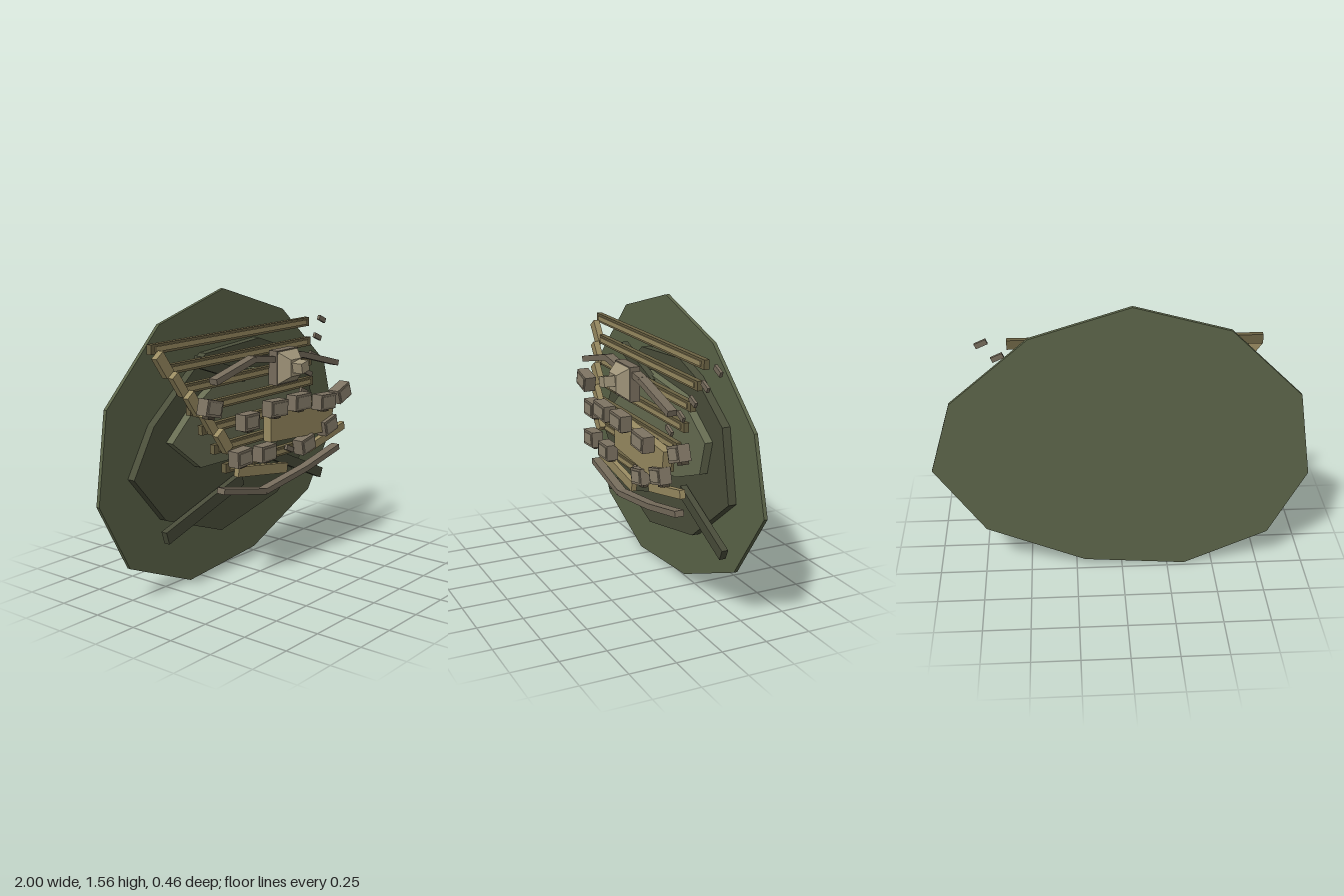
import * as THREE from 'three';

const mat = (color) => new THREE.MeshStandardMaterial({ color, flatShading: true });
const M = {
  ground: mat(0x5c6549), earth: mat(0x4b4f3b), moss: mat(0x676d52), log: mat(0x484b39),
  bench: mat(0x6b6243), plank: mat(0x9a8c62), wall: mat(0x766c5c), stone: mat(0x7d7362),
  face: mat(0x8e8571), dark: mat(0x4a4335), pale: mat(0xa0957a),
};

export function createModel() {
  const root = new THREE.Group();

  function add(name, geometry, material, x = 0, y = 0, z = 0, rot = 0, parent = root) {
    const mesh = new THREE.Mesh(geometry, material);
    mesh.name = name;
    mesh.position.set(x, y, z);
    mesh.rotation.z = rot;
    parent.add(mesh);
    return mesh;
  }
  const box = (name, w, h, d, material, x, y, z, rot, parent) =>
    add(name, new THREE.BoxGeometry(w, h, d), material, x, y, z, rot, parent);

  // Flat irregular polygon slab between two depths
  function slab(name, points, z0, z1, material) {
    const shape = new THREE.Shape(points.map(([x, y]) => new THREE.Vector2(x, y)));
    add(name, new THREE.ExtrudeGeometry(shape, { depth: z1 - z0, bevelEnabled: false }), material, 0, 0, z0);
  }

  // Beam between two points in the facing plane
  function beam(name, [x0, y0], [x1, y1], width, z, depth, material) {
    box(name, Math.hypot(x1 - x0, y1 - y0), width, depth, material,
      (x0 + x1) / 2, (y0 + y1) / 2, z, Math.atan2(y1 - y0, x1 - x0));
  }

  // Layered ground
  slab('groundSlab', [[-0.05, 1.56], [0.47, 1.4], [0.885, 1.045], [1, 0.65], [0.735, 0.27], [0.205, 0.045],
    [-0.345, 0], [-0.8, 0.195], [-1, 0.57], [-0.93, 1.045], [-0.55, 1.42]], -0.23, -0.21, M.ground);
  slab('middleSlab', [[0.2, 1.27], [0.38, 1.21], [0.66, 1.02], [0.74, 0.64], [0.37, 0.345], [-0.135, 0.24],
    [-0.575, 0.405], [-0.8, 0.67], [-0.65, 0.92], [-0.25, 1.24]], -0.21, -0.165, M.earth);
  slab('innerSlab', [[-0.565, 0.82], [-0.36, 1], [-0.12, 1.14], [0.3, 1.1], [0.57, 0.92], [0.52, 0.74],
    [0.25, 0.64], [-0.35, 0.65]], -0.165, -0.12, M.moss);

  // Fallen logs around the hollow
  beam('leftLog', [-0.61, 0.325], [0, 0.51], 0.07, -0.14, 0.036, M.log);
  beam('rightLog', [0.75, 0.385], [0.3, 0.585], 0.06, -0.14, 0.036, M.log);
  beam('upperLeftLog', [-0.38, 1.22], [0, 1.09], 0.06, -0.117, 0.036, M.log);

  // Seven rows of benches stepping down and forward
  const ends = [[-0.725, 0.58], [-0.64, 0.56], [-0.575, 0.54], [-0.53, 0.52],
    [-0.47, 0.49], [-0.405, 0.46], [-0.345, 0.39]];
  ends.forEach(([l, r], i) => {
    const y = 1.325 - 0.109 * i, z = -0.117 + 0.025 * i, x = (l + r) / 2;
    box('bench' + (i + 1), r - l, 0.05, 0.03, M.bench, x, y, z);
    box('benchSeat' + (i + 1), r - l - 0.06, 0.026, 0.01, M.plank, x, y, z + 0.016);
  });

  // Left stair rail, in segments that follow the slope
  for (let i = 0; i < 5; i++) {
    const at = (t) => [-0.705 + 0.375 * t, 1.3 - 0.53 * t];
    beam('leftRail', at(i / 5), at((i + 1) / 5), i % 2 ? 0.05 : 0.06, -0.08 + 0.032 * i, 0.035, M.plank);
  }

  // Right stepping stones
  for (let i = 0; i < 8; i++)
    box('stepStone', 0.065, 0.028, 0.016, M.wall, 0.71 - 0.077 * i, 1.325 - 0.092 * i, -0.107 + 0.025 * i, -0.42);

  // Stage platform and loose planks
  slab('stage', [[-0.035, 0.945], [0.55, 0.9], [0.525, 0.72], [-0.035, 0.76]], 0.05, 0.1, M.plank);
  beam('leftPlank', [-0.28, 0.645], [0.14, 0.58], 0.055, 0.065, 0.03, M.plank);
  beam('rightPlank', [0.34, 0.645], [0.69, 0.72], 0.045, 0.065, 0.03, M.plank);

  // Curved walls made of straight lengths
  function wall(name, points, z, depth) {
    for (let i = 1; i < points.length; i++) beam(name, points[i - 1], points[i], 0.032, z, depth, M.wall);
  }
  wall('upperWall', [[-0.47, 1.15], [-0.16, 1.225], [0.02, 1.2]], 0.075, 0.05);
  wall('upperWall', [[0.16, 1.21], [0.26, 1.195], [0.59, 1.105]], 0.075, 0.05);
  wall('lowerWall', [[-0.395, 0.565], [-0.045, 0.485], [0.33, 0.535], [0.64, 0.6]], 0.055, 0.05);

  // Stepped shrine with a tapered body and a turned block on its front
  const shrine = new THREE.Group();
  shrine.name = 'shrine';
  shrine.position.set(0.095, 1.155, 0);
  root.add(shrine);
  box('shrineBase', 0.185, 0.185, 0.055, M.wall, 0, 0, 0.083, 0, shrine);
  const taper = new THREE.CylinderGeometry(0.045 * Math.SQRT2, 0.088 * Math.SQRT2, 0.06, 4)
    .rotateY(Math.PI / 4).rotateX(Math.PI / 2);
  add('shrineTaper', taper, M.pale, 0, 0, 0.138, 0, shrine);
  box('shrineBlock', 0.065, 0.055, 0.065, M.pale, 0, 0.008, 0.197, 0.2, shrine);

  // Ring of stone seats: x, y, z, turn
  const seats = [[-0.49, 1.02, 0.07, -0.25], [-0.26, 0.92, 0.125, -0.02], [-0.06, 0.96, 0.148, -0.05],
    [0.15, 0.96, 0.148, -0.03], [0.395, 0.92, 0.14, -0.06], [0.655, 0.92, 0.07, 0.35],
    [-0.3, 0.735, 0.11, 0.05], [-0.1, 0.72, 0.11, 0], [0.28, 0.69, 0.09, 0.2], [0.495, 0.76, 0.09, 0.25]];
  for (const [x, y, z, turn] of seats) {
    const seat = new THREE.Group();
    seat.name = 'stoneSeat';
    seat.position.set(x, y, z);
    seat.rotation.z = turn;
    root.add(seat);
    const w = x > -0.2 && x < 0.6 && y > 0.8 ? 0.14 : 0.12;
    box('seatBlock', w, 0.085, 0.065, M.stone, 0, 0, 0, 0, seat);
    box('seatFace', w - 0.025, 0.06, 0.01, M.face, 0, 0, 0.032, 0, seat);
    box('seatFoot', 0.05, 0.02, 0.04, M.dark, 0.01, -0.048, -0.01, 0, seat);
  }
  return root;
}
